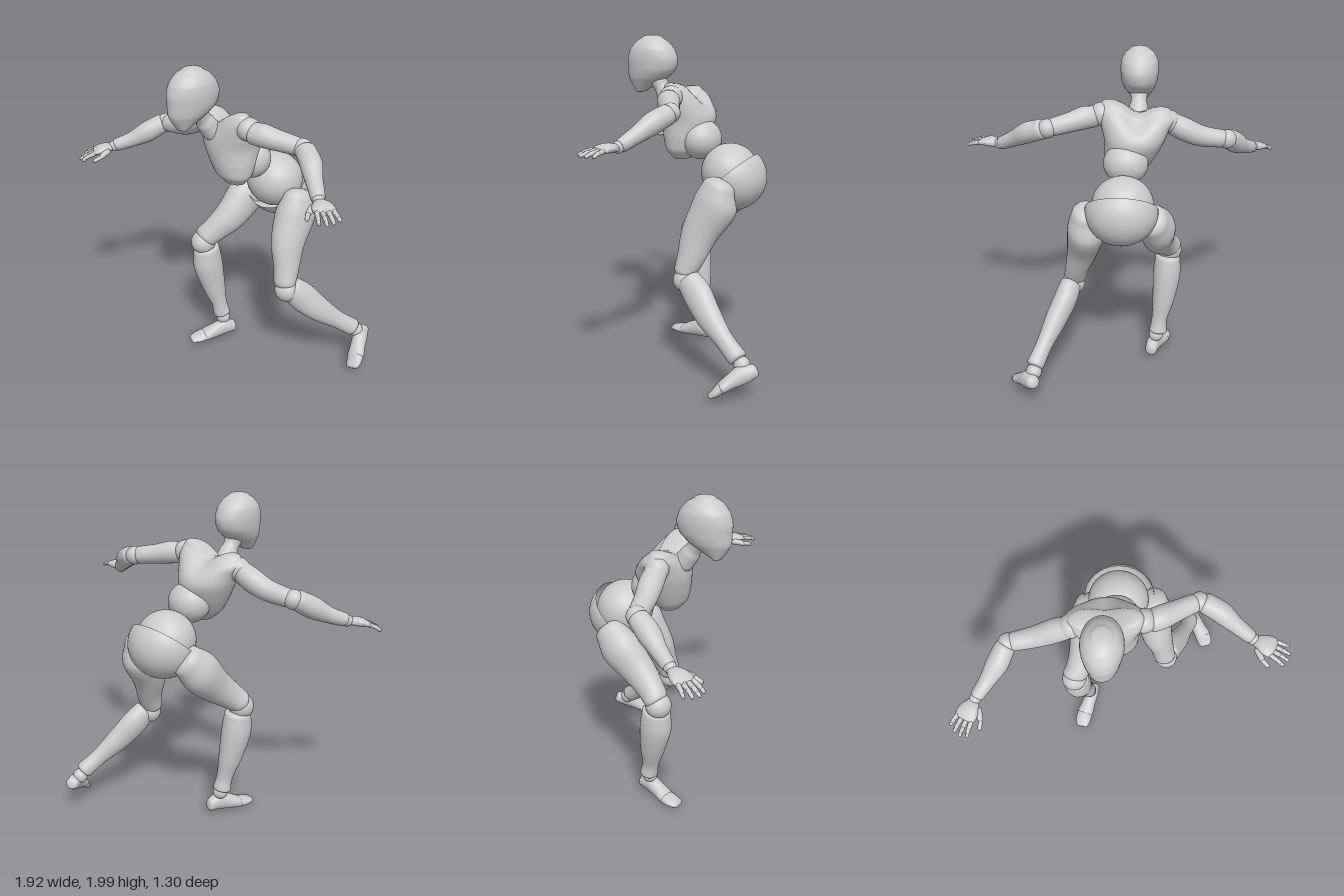
import * as THREE from 'three';
import { toCreasedNormals } from 'three/addons/utils/BufferGeometryUtils.js';

const V = (x, y, z) => new THREE.Vector3(x, y, z);
const UP = V(0, 1, 0), SIDE = V(1, 0, 0);
const mat = new THREE.MeshStandardMaterial({ color: 0xcccccc, side: THREE.DoubleSide });

function add(group, name, geo) {
  const mesh = new THREE.Mesh(geo, mat);
  mesh.name = name;
  group.add(mesh);
  return mesh;
}

// Smooth body through rings [x, y, z, radius along side, other radius], with domed ends
function loft(rings, { axis, side = SIDE, dome = 0.5, seg = 36, sub = 6, rule } = {}) {
  const n = rings.length;
  const first = rings[0], last = rings[n - 1];
  const w = axis || V(last[0] - first[0], last[1] - first[1], last[2] - first[2]).normalize();
  const u = side.clone().addScaledVector(w, -side.dot(w)).normalize();
  const v = w.clone().cross(u);
  const centres = new THREE.CatmullRomCurve3(rings.map(r => V(r[0], r[1], r[2])));
  const radii = new THREE.CatmullRomCurve3(rings.map(r => V(r[3], r[4] ?? r[3], 0)));
  const list = [];
  const capRing = (t, a, sign) => {
    const c = centres.getPoint(t), r = radii.getPoint(t);
    c.addScaledVector(w, sign * dome * Math.min(r.x, r.y) * Math.sin(a));
    list.push([c, r.multiplyScalar(Math.cos(a))]);
  };
  const steps = (n - 1) * sub, caps = 5;
  for (let k = caps; k > 0; k--) capRing(0, k / caps * 1.55, -1);
  for (let i = 0; i <= steps; i++) list.push([centres.getPoint(i / steps), radii.getPoint(i / steps)]);
  for (let k = 1; k <= caps; k++) capRing(1, k / caps * 1.55, 1);

  const pos = [], idx = [];
  const push = p => { if (rule) rule(p); pos.push(p.x, p.y, p.z); };
  list.forEach(([c, r], i) => {
    for (let j = 0; j < seg; j++) {
      const a = j / seg * Math.PI * 2;
      push(c.clone().addScaledVector(u, r.x * Math.cos(a)).addScaledVector(v, r.y * Math.sin(a)));
      const p = i * seg + j, q = i * seg + (j + 1) % seg;
      if (i < list.length - 1) idx.push(p, q, q + seg, p, q + seg, p + seg);
    }
  });
  const end = list.length * seg, top = end - seg;
  push(list[0][0].clone());
  push(list[list.length - 1][0].clone());
  for (let j = 0; j < seg; j++) {
    const k = (j + 1) % seg;
    idx.push(end, k, j, end + 1, top + j, top + k);
  }
  const geo = new THREE.BufferGeometry();
  geo.setAttribute('position', new THREE.Float32BufferAttribute(pos, 3));
  geo.setIndex(idx);
  return toCreasedNormals(geo, 0.9);
}

function ball(group, name, x, y, z, r, sx = 1, sy = 1, sz = 1) {
  const mesh = add(group, name, new THREE.SphereGeometry(r, 36, 24));
  mesh.position.set(x, y, z);
  mesh.scale.set(sx, sy, sz);
  return mesh;
}

// Hand built along +x, palm down, thumb towards thumbSide on z
function hand(name, wrist, tip, thumbSide) {
  const g = new THREE.Group();
  g.name = name;
  ball(g, 'wrist', 0, 0, 0, 0.035);
  add(g, 'palm', loft([[0.02, 0, 0, 0.022, 0.035], [0.06, 0.004, 0, 0.027, 0.055],
    [0.1, 0.004, 0, 0.024, 0.064], [0.13, 0, 0, 0.018, 0.06]], { side: UP, seg: 24 }));
  const segment = (label, a, b, r) => add(g, label,
    loft([[...a, r], [...b, r * 0.85]], { side: UP, seg: 12, dome: 0.9, sub: 3 }));
  for (let i = 0; i < 4; i++) {
    const s = 1.5 - i, z = thumbSide * s * 0.03;
    const len = [0.085, 0.1, 0.092, 0.068][i];
    const at = t => [0.13 + len * t, -0.02 * t * t, z * (1 + 0.3 * t)];
    segment('finger', at(0), at(0.45), 0.0145);
    segment('finger', at(0.48), at(0.75), 0.013);
    segment('finger', at(0.78), at(0.97), 0.0115);
  }
  const t = thumbSide;
  segment('thumb', [0.05, -0.01, 0.045 * t], [0.09, -0.018, 0.078 * t], 0.02);
  segment('thumb', [0.095, -0.02, 0.082 * t], [0.14, -0.026, 0.1 * t], 0.014);
  const x = tip.clone().sub(wrist).normalize();
  const z = x.clone().cross(UP).normalize();
  g.quaternion.setFromRotationMatrix(new THREE.Matrix4().makeBasis(x, z.clone().cross(x), z));
  g.position.copy(wrist);
  return g;
}

export function createModel() {
  const g = new THREE.Group();
  g.name = 'jointedFigure';

  // Head and neck
  add(g, 'head', loft([
    [-0.09, 1.655, 0.36, 0.045, 0.03], [-0.09, 1.70, 0.335, 0.07, 0.085],
    [-0.09, 1.74, 0.31, 0.092, 0.128], [-0.09, 1.79, 0.285, 0.108, 0.155],
    [-0.09, 1.85, 0.278, 0.115, 0.163], [-0.09, 1.91, 0.279, 0.112, 0.145],
    [-0.09, 1.96, 0.28, 0.088, 0.102], [-0.09, 1.985, 0.28, 0.058, 0.062],
  ], { axis: UP, dome: 0.25, seg: 48 }));
  add(g, 'neck', loft([[-0.09, 1.59, 0.15, 0.062], [-0.09, 1.66, 0.2, 0.056], [-0.09, 1.74, 0.25, 0.056]]));

  // Chest with sloping shoulders and a dip at the neck
  add(g, 'chest', loft([
    [-0.02, 1.275, 0.04, 0.08, 0.06], [-0.03, 1.32, 0.042, 0.125, 0.1],
    [-0.05, 1.4, 0.03, 0.155, 0.138], [-0.075, 1.5, 0.022, 0.18, 0.163],
    [-0.08, 1.58, 0.035, 0.205, 0.148], [-0.085, 1.65, 0.052, 0.23, 0.115],
    [-0.085, 1.695, 0.065, 0.205, 0.08],
  ], {
    axis: UP, seg: 48, dome: 0.3,
    rule: p => {
      const d = (p.x + 0.09) / 0.09, k = THREE.MathUtils.smoothstep(p.y, 1.52, 1.7);
      p.y += k * (0.12 * (p.x + 0.09) - 0.07 * Math.exp(-d * d));
    },
  }));
  ball(g, 'abdomen', -0.03, 1.385, -0.08, 0.122, 1.1, 1, 1);

  // Waist ball sitting in a tilted pelvis bowl
  ball(g, 'waist', -0.025, 1.2, -0.27, 0.172, 1.06, 1, 1);
  const bowl = add(g, 'pelvis', new THREE.SphereGeometry(0.2, 48, 28, 0, Math.PI * 2, Math.PI * 0.47, Math.PI * 0.53));
  bowl.position.set(-0.02, 1.17, -0.295);
  bowl.rotation.x = 0.72;
  bowl.scale.x = 1.07;

  // Left leg, trailing with the heel raised
  add(g, 'leftThigh', loft([
    [0.19, 1.14, -0.285, 0.085, 0.1], [0.192, 1.03, -0.262, 0.112, 0.135], [0.225, 0.86, -0.178, 0.095, 0.11],
    [0.265, 0.72, -0.14, 0.074, 0.083], [0.282, 0.645, -0.115, 0.07, 0.068],
  ], { dome: 0.7 }));
  ball(g, 'leftKnee', 0.295, 0.59, -0.12, 0.073);
  add(g, 'leftCalf', loft([
    [0.308, 0.595, -0.15, 0.066, 0.078], [0.338, 0.52, -0.222, 0.072, 0.092], [0.39, 0.42, -0.315, 0.066, 0.08],
    [0.45, 0.31, -0.445, 0.05, 0.056], [0.485, 0.245, -0.53, 0.053, 0.057],
  ], { dome: 0.3 }));
  ball(g, 'leftAnkle', 0.49, 0.215, -0.558, 0.047);
  add(g, 'leftFoot', loft([
    [0.485, 0.19, -0.63, 0.04, 0.04], [0.52, 0.17, -0.575, 0.046, 0.055],
    [0.56, 0.13, -0.515, 0.05, 0.042], [0.59, 0.1, -0.475, 0.056, 0.034],
  ], { dome: 0.5 }));
  add(g, 'leftToes', loft([[0.588, 0.1, -0.475, 0.054, 0.034], [0.605, 0.07, -0.445, 0.052, 0.026],
    [0.615, 0.05, -0.42, 0.04, 0.018]]));

  // Right leg, bent with the foot flat
  add(g, 'rightThigh', loft([
    [-0.205, 1.11, -0.28, 0.085, 0.1], [-0.228, 1.02, -0.19, 0.108, 0.128], [-0.235, 0.9, -0.065, 0.095, 0.105],
    [-0.268, 0.82, 0.03, 0.08, 0.084], [-0.293, 0.78, 0.075, 0.08, 0.074],
  ], { dome: 0.6 }));
  ball(g, 'rightKnee', -0.3, 0.74, 0.095, 0.079);
  add(g, 'rightCalf', loft([
    [-0.292, 0.69, 0.078, 0.08, 0.088], [-0.288, 0.58, 0.07, 0.088, 0.099], [-0.27, 0.4, 0.038, 0.07, 0.078],
    [-0.246, 0.25, 0.01, 0.05, 0.052], [-0.241, 0.185, -0.003, 0.057, 0.056],
  ], { dome: 0.3 }));
  ball(g, 'rightAnkle', -0.228, 0.155, -0.005, 0.047);
  add(g, 'rightFoot', loft([
    [-0.198, 0.075, -0.065, 0.038, 0.042], [-0.21, 0.085, -0.015, 0.044, 0.058],
    [-0.235, 0.065, 0.06, 0.048, 0.05], [-0.258, 0.045, 0.125, 0.056, 0.036],
  ]));
  add(g, 'rightToes', loft([[-0.258, 0.043, 0.125, 0.054, 0.034], [-0.27, 0.036, 0.175, 0.054, 0.028],
    [-0.278, 0.03, 0.22, 0.042, 0.02]]));

  // Arms spread out to both sides
  const arm = { side: UP, dome: 0.5 };
  ball(g, 'rightShoulder', -0.275, 1.6, 0.075, 0.07);
  add(g, 'rightUpperArm', loft([[-0.3, 1.585, 0.08, 0.065], [-0.37, 1.55, 0.087, 0.07],
    [-0.47, 1.505, 0.105, 0.063], [-0.6, 1.48, 0.13, 0.055]], arm));
  ball(g, 'rightElbow', -0.63, 1.477, 0.137, 0.058);
  add(g, 'rightForearm', loft([[-0.645, 1.47, 0.16, 0.06], [-0.685, 1.425, 0.235, 0.065],
    [-0.745, 1.37, 0.325, 0.048], [-0.8, 1.335, 0.405, 0.04]], arm));
  g.add(hand('rightHand', V(-0.81, 1.328, 0.42), V(-0.92, 1.275, 0.63), -1));

  ball(g, 'leftShoulder', 0.125, 1.645, 0.05, 0.07);
  add(g, 'leftUpperArm', loft([[0.165, 1.632, 0.045, 0.064], [0.22, 1.63, 0.02, 0.068],
    [0.3, 1.615, -0.025, 0.06], [0.4, 1.6, -0.08, 0.053]], arm));
  ball(g, 'leftElbow', 0.43, 1.595, -0.092, 0.057);
  add(g, 'leftForearm', loft([[0.46, 1.59, -0.09, 0.06], [0.55, 1.555, -0.052, 0.063],
    [0.64, 1.5, 0, 0.049], [0.73, 1.45, 0.05, 0.04]], arm));
  g.add(hand('leftHand', V(0.745, 1.442, 0.06), V(0.945, 1.435, 0.155), 1));
  return g;
}
